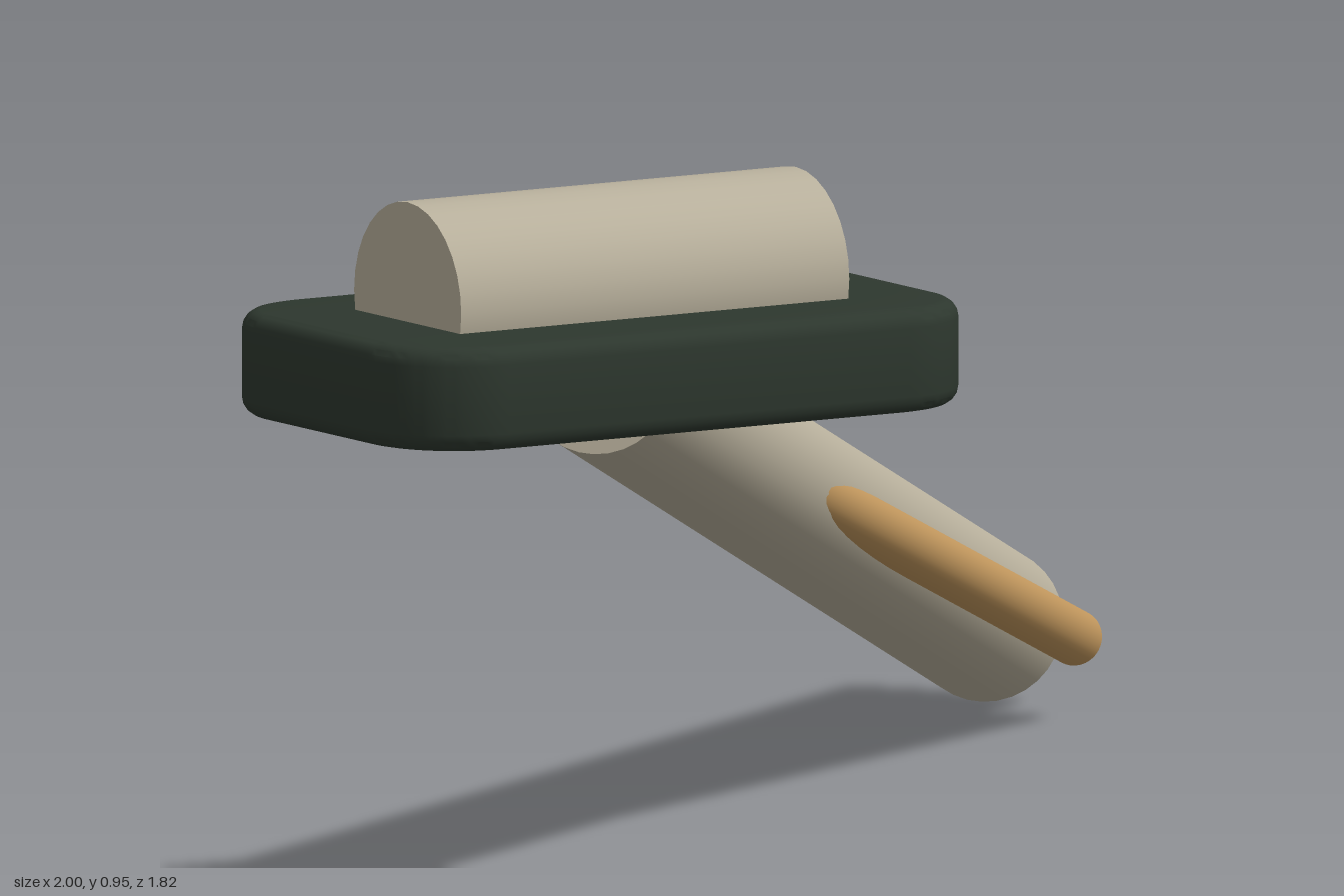
import * as THREE from 'three';
import { toCreasedNormals } from 'three/addons/utils/BufferGeometryUtils.js';

const material = (name, color) => {
  const m = new THREE.MeshStandardMaterial({ color });
  m.name = name;
  return m;
};

// Capped cylinder running between two points
function rod(name, from, to, radius, mat) {
  const a = new THREE.Vector3(...from), b = new THREE.Vector3(...to);
  const dir = b.clone().sub(a);
  const mesh = new THREE.Mesh(new THREE.CylinderGeometry(radius, radius, dir.length(), 32), mat);
  mesh.name = name;
  mesh.position.copy(a).add(b).multiplyScalar(0.5);
  mesh.quaternion.setFromUnitVectors(new THREE.Vector3(0, 1, 0), dir.normalize());
  return mesh;
}

// Slab lying flat, with rounded corners and softened rims
function roundedSlab(width, depth, height, radius, bevel) {
  const x = width / 2 - bevel, y = depth / 2 - bevel, r = radius - bevel;
  const s = new THREE.Shape();
  s.absarc(x - r, y - r, r, 0, Math.PI / 2);
  s.absarc(-x + r, y - r, r, Math.PI / 2, Math.PI);
  s.absarc(-x + r, -y + r, r, Math.PI, Math.PI * 1.5);
  s.absarc(x - r, -y + r, r, Math.PI * 1.5, Math.PI * 2);
  s.closePath();
  const g = new THREE.ExtrudeGeometry(s, {
    depth: height - 2 * bevel, bevelEnabled: true, bevelSize: bevel,
    bevelThickness: bevel, bevelSegments: 4, curveSegments: 10,
  });
  g.translate(0, 0, bevel - height / 2);
  g.rotateX(-Math.PI / 2);
  return toCreasedNormals(g, 0.6);
}

export function createModel() {
  const stone = material('pale stone', 0xb8b09c);
  const dark = material('dark green', 0x2d372e);
  const wood = material('tan wood', 0xbf955c);

  const model = new THREE.Group();
  model.name = 'model';

  // Head: dark slab with a barrel half sunk into it
  const slab = new THREE.Mesh(roundedSlab(0.845, 0.51, 0.13, 0.13, 0.022), dark);
  slab.name = 'headSlab';
  slab.position.set(-0.577, 0.735, 0.655);
  model.add(slab);
  model.add(rod('headBarrel', [-0.86, 0.825, 0.657], [-0.292, 0.825, 0.657], 0.125, stone));

  // Long sloping pole and the thin branch leaving its side
  model.add(rod('pole', [-0.594, 0.713, 0.678], [0.929, 0.094, -0.844], 0.097, stone));
  model.add(rod('branch', [-0.3, 0.595, 0.42], [0.928, 0.103, -0.637], 0.035, wood));

  return model;
}
